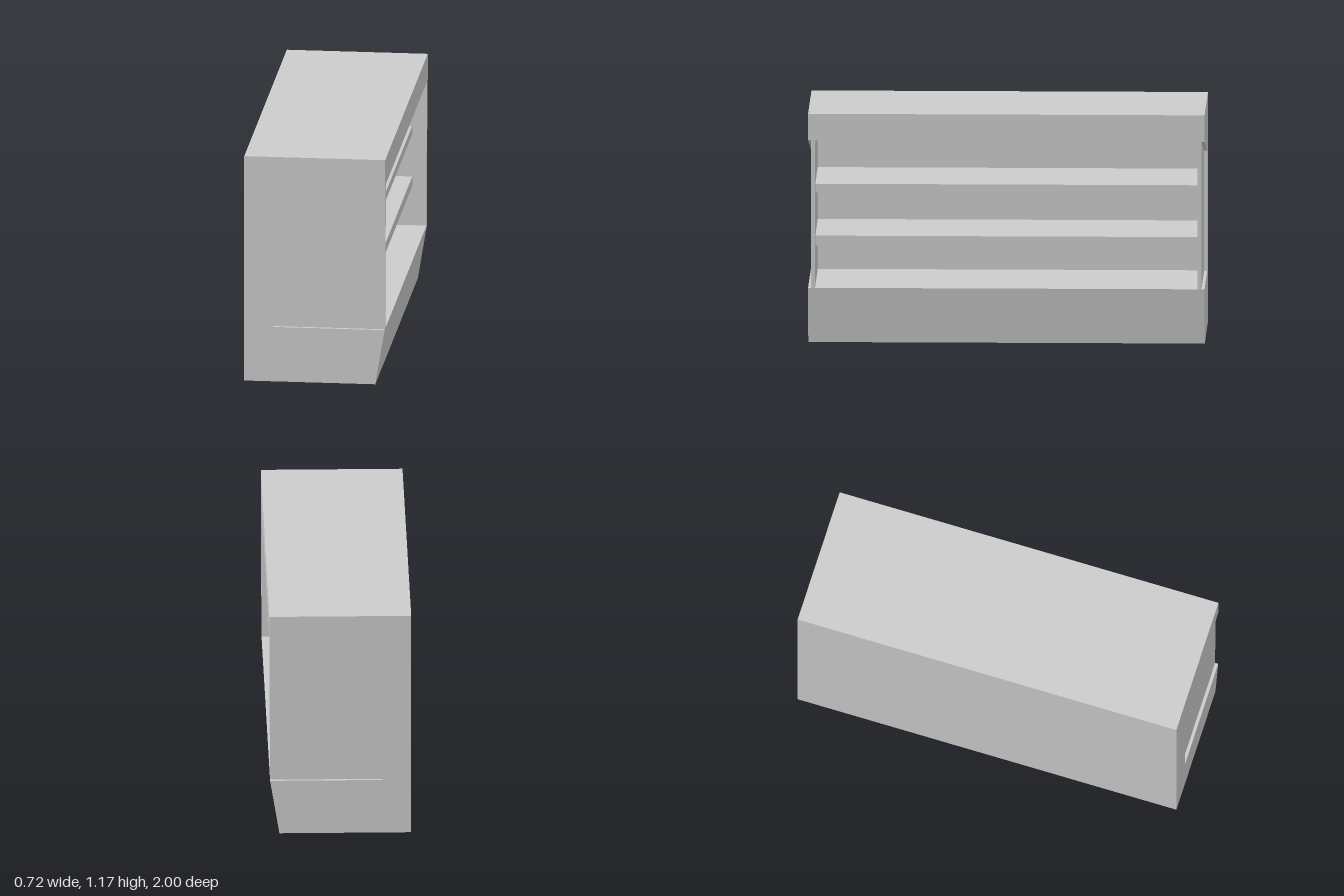
import * as THREE from 'three';

const LENGTH = 2, END = 0.035, RECESS = 0.016;
const BACK = -0.36, FRONT = 0.355, TOP = 1.175;
const FLOOR = 0.285, CEILING = 1.04, INNER_BACK = -0.23;

const material = new THREE.MeshStandardMaterial({ color: 0xcccccc });

// Extrudes an x-y profile from z0 to z1
function slab(name, points, z0, z1) {
  const shape = new THREE.Shape(points.map(([x, y]) => new THREE.Vector2(x, y)));
  const geometry = new THREE.ExtrudeGeometry(shape, { depth: z1 - z0, bevelEnabled: false });
  geometry.translate(0, 0, z0);
  const mesh = new THREE.Mesh(geometry, material);
  mesh.name = name;
  return mesh;
}

export function createModel() {
  const group = new THREE.Group();
  group.name = 'displayShelfUnit';
  const half = LENGTH / 2, inner = half - END;

  const kick = [[0.305, 0], [0.352, FLOOR]];
  const header = [[FRONT, CEILING], [FRONT, TOP], [BACK, TOP]];

  // Body with the open shelf bay and a shallow groove underneath
  group.add(slab('cabinetBody', [
    [BACK, 0], [-0.12, 0.02], [-0.12, 0], ...kick,
    [INNER_BACK, FLOOR], [INNER_BACK, CEILING], ...header,
  ], -inner, inner));

  // End panes, and end frames that leave a slanted recess around them
  const pane = [[BACK, 0], ...kick, ...header];
  const frame = [[BACK, 0], ...kick, [-0.215, FLOOR], [-0.215, 0.9], ...header];
  for (const [side, s] of [['left', 1], ['right', -1]]) {
    const span = (a, b) => (s > 0 ? [a, b] : [-b, -a]);
    group.add(slab(side + 'EndPane', pane, ...span(inner, half - RECESS)));
    group.add(slab(side + 'EndFrame', frame, ...span(half - RECESS, half)));
  }

  // Two shelves set back from the opening
  for (const [name, y0, y1] of [['lowerShelf', 0.49, 0.54], ['upperShelf', 0.76, 0.805]]) {
    group.add(slab(name, [[INNER_BACK, y0], [0.28, y0], [0.28, y1], [INNER_BACK, y1]], -inner, inner));
  }

  return group;
}
